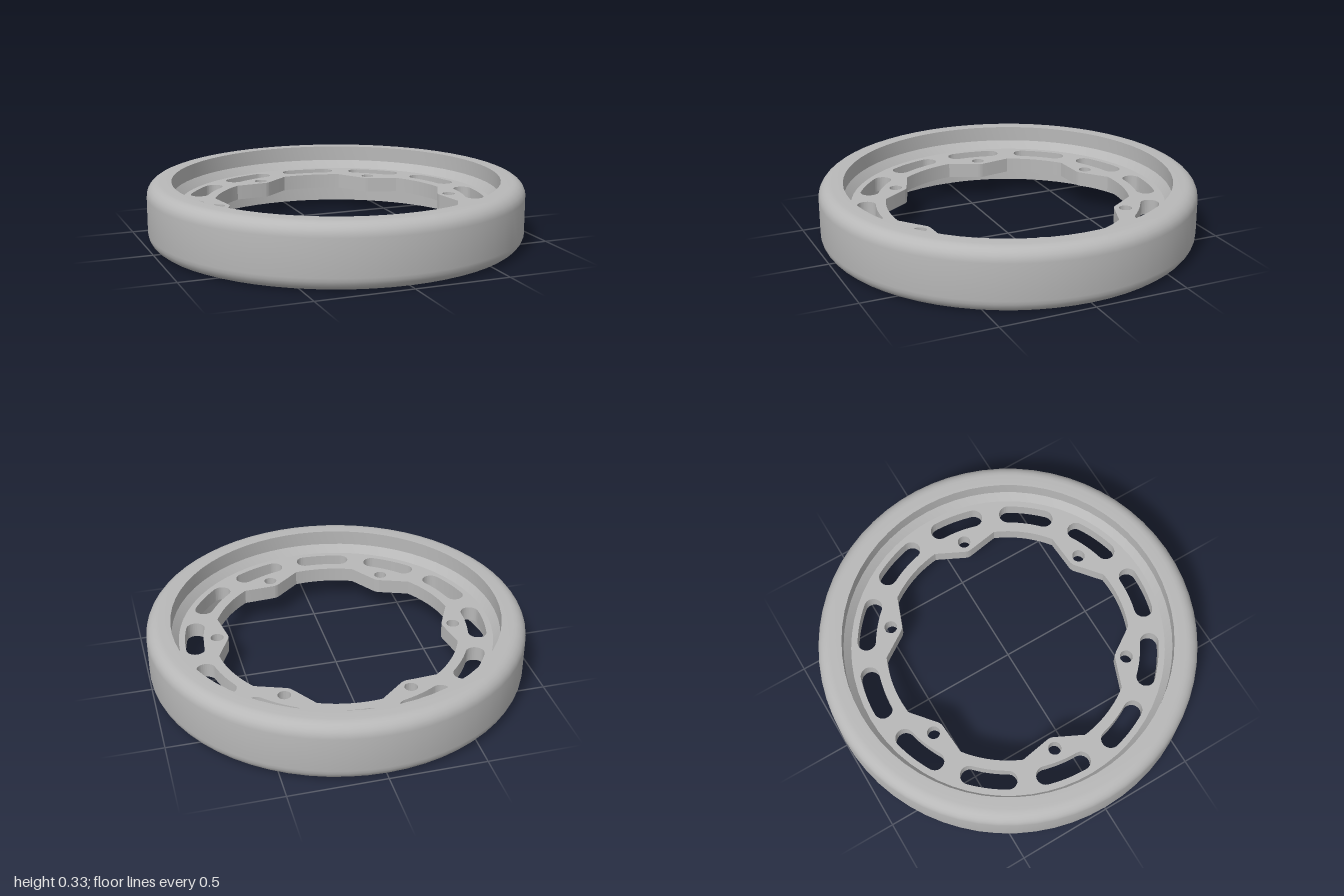
import * as THREE from 'three';
import { toCreasedNormals } from 'three/addons/utils/BufferGeometryUtils.js';

const H = 0.33;          // rim height
const PLATE_LOW = 0.125; // underside of the web plate
const PLATE_TOP = H - PLATE_LOW;
const rad = THREE.MathUtils.degToRad;
const polar = (r, a) => new THREE.Vector2(r * Math.cos(a), r * Math.sin(a));

// Rim cross-section: rounded outside, chamfered step to the plate inside
function rimGeometry() {
  const f = 0.07, wall = 0.87, step = 0.835, drop = 0.083;
  const pts = [new THREE.Vector2(wall, 0)];
  const corner = (cy, start) => {
    for (let i = 0; i <= 6; i++) {
      const p = polar(f, start + (i / 6) * Math.PI / 2);
      pts.push(new THREE.Vector2(1 - f + p.x, cy + p.y));
    }
  };
  corner(f, -Math.PI / 2);
  corner(H - f, 0);
  pts.push(
    new THREE.Vector2(wall, H), new THREE.Vector2(wall, H - drop),
    new THREE.Vector2(step, PLATE_TOP), new THREE.Vector2(step, PLATE_LOW),
    new THREE.Vector2(wall, drop), new THREE.Vector2(wall, 0));
  return toCreasedNormals(new THREE.LatheGeometry(pts, 64), rad(28));
}

// Curved slot with round ends, centred on angle a
function slotPath(a) {
  const r = 0.753, w = 0.049, half = rad(7.6);
  const p = new THREE.Path();
  const end = polar(r, a + half), start = polar(r, a - half);
  p.absarc(0, 0, r + w, a - half, a + half, false);
  p.absarc(end.x, end.y, w, a + half, a + half + Math.PI, false);
  p.absarc(0, 0, r - w, a + half, a - half, true);
  p.absarc(start.x, start.y, w, a - half + Math.PI, a - half + 2 * Math.PI, false);
  return p;
}

// Web plate: six inward bosses with bolt holes, twelve slots
function plateGeometry() {
  const inner = 0.65, holeR = 0.633, bossR = 0.06, spread = rad(15.5);
  const first = rad(51.6);
  const shape = new THREE.Shape();
  shape.absarc(0, 0, 0.84, 0, Math.PI * 2, false);

  const opening = new THREE.Path();
  for (let i = 0; i < 6; i++) {
    const a = first + i * Math.PI / 3;
    const c = polar(holeR, a);
    // tangent lines from the opening edge onto the round boss tip
    const base = polar(inner, a - spread).sub(c);
    const toBase = base.angle();
    const open = Math.acos(bossR / base.length());
    const t = toBase - open > a + Math.PI ? toBase - open : toBase - open + 2 * Math.PI;
    const offset = Math.atan2(Math.sin(t - a - Math.PI), Math.cos(t - a - Math.PI));
    const s = Math.abs(offset);
    opening.absarc(c.x, c.y, bossR, a + Math.PI + s, a + Math.PI - s, true);
    opening.absarc(0, 0, inner, a + spread, a + Math.PI / 3 - spread, false);
  }
  opening.closePath();
  shape.holes.push(opening);

  for (let i = 0; i < 6; i++) {
    const c = polar(holeR, first + i * Math.PI / 3);
    shape.holes.push(new THREE.Path().absarc(c.x, c.y, 0.034, 0, Math.PI * 2, false));
  }
  for (let i = 0; i < 12; i++) shape.holes.push(slotPath(first + i * Math.PI / 6));

  const g = new THREE.ExtrudeGeometry(shape, {
    depth: PLATE_TOP - PLATE_LOW, bevelEnabled: false, curveSegments: 32,
  });
  g.rotateX(-Math.PI / 2);
  g.translate(0, PLATE_LOW, 0);
  return toCreasedNormals(g, rad(28));
}

export function createModel() {
  const grey = new THREE.MeshStandardMaterial({ color: 0xb8b8b8 });
  grey.name = 'light grey';
  const group = new THREE.Group();
  group.name = 'slottedRing';
  const add = (name, geometry) => {
    const mesh = new THREE.Mesh(geometry, grey);
    mesh.name = name;
    group.add(mesh);
  };
  add('rim', rimGeometry());
  add('webPlate', plateGeometry());
  return group;
}
